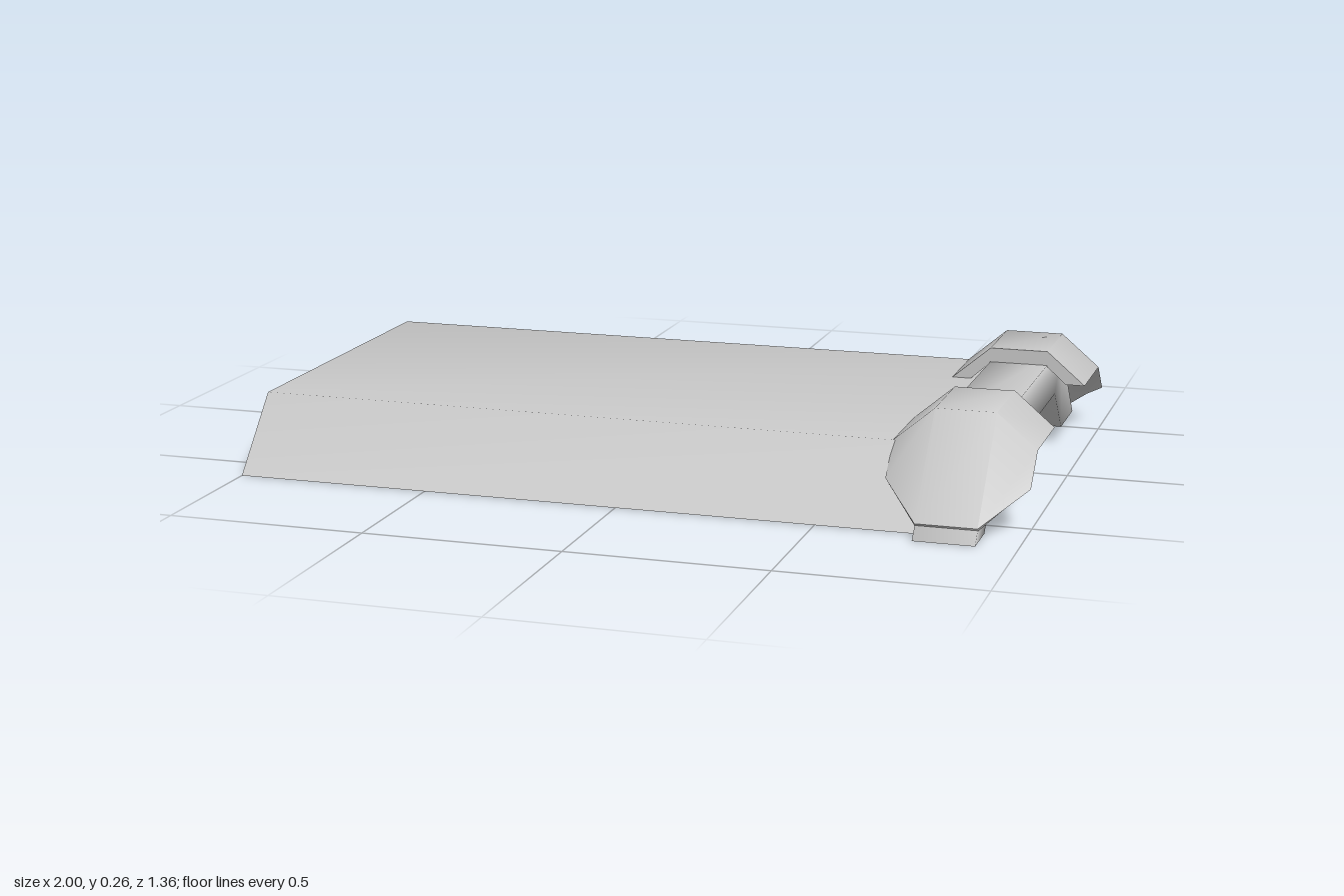
import * as THREE from 'three';
import { toCreasedNormals } from 'three/addons/utils/BufferGeometryUtils.js';

// Joins cross-sections (rings of [x, y, z] points) running from back to front.
function loft(rings, closed) {
  const n = rings[0].length;
  const index = [];
  for (let i = 0; i < rings.length - 1; i++) {
    for (let j = 0; j < (closed ? n : n - 1); j++) {
      const a = i * n + j, b = i * n + (j + 1) % n;
      index.push(a, a + n, b, b, a + n, b + n);
    }
  }
  if (closed) {
    const e = (rings.length - 1) * n;
    for (let k = 0; k < n / 2 - 1; k++) {
      const p = k, q = k + 1, r = n - 2 - k, s = n - 1 - k;
      index.push(p, q, r, p, r, s);
      index.push(e + p, e + r, e + q, e + p, e + s, e + r);
    }
  }
  const g = new THREE.BufferGeometry();
  g.setAttribute('position', new THREE.Float32BufferAttribute(rings.flat(2), 3));
  g.setIndex(index);
  g.computeVertexNormals();
  return g;
}

export function createModel() {
  const group = new THREE.Group();
  const grey = new THREE.MeshStandardMaterial({ color: 0xc8c8c8, side: THREE.DoubleSide });
  grey.name = 'light grey';
  const add = (name, geometry) => {
    const mesh = new THREE.Mesh(geometry, grey);
    mesh.name = name;
    group.add(mesh);
  };

  // Thin roof sheet with sloping edges
  const sheet = [[-0.62, 0], [-0.455, 0.18], [0.455, 0.18], [0.62, 0]];
  add('roofPanel', loft(sheet.map(([z, y]) => [[-1, y, z], [0.78, y, z]]), false));

  // Bent end rib: outer z, outer y, inner z, inner y
  const rib = [
    [-0.68, 0, -0.495, 0], [-0.46, 0.228, -0.375, 0.12],
    [0.46, 0.228, 0.455, 0.12], [0.68, 0, 0.57, 0],
  ];
  add('endRib', loft(rib.map(([zo, yo, zi, yi]) => [
    [0.75, yo, zo], [0.9, yo, zo], [0.9, yi, zi], [0.75, yi, zi],
  ]), true));

  // Arched corner guards; each station gives [y, z] of side, ridge, inner side, inner ridge
  const guard = (name, sign, start, shift) => {
    const stations = [
      [[0.18, start], [0.265, start], [0.18, start], [0.225, start]],
      [[0.18, 0.45], [0.265, 0.45], [0.18, 0.45], [0.225, 0.45]],
      [[0.105, 0.53], [0.035, 0.655], [0.07, 0.593], [0.028, 0.65]],
    ];
    const rings = stations.map(([side, ridge, inSide, inRidge], i) => {
      const at = (x, [y, z]) => [x, y, sign * (z + (i ? shift : 0))];
      return [
        at(0.65, side), at(0.75, ridge), at(0.9, ridge), at(1, side),
        at(0.95, inSide), at(0.9, inRidge), at(0.75, inRidge), at(0.7, inSide),
      ];
    });
    if (sign < 0) rings.reverse();
    add(name, toCreasedNormals(loft(rings, true), 1.0));
  };
  guard('frontCornerGuard', 1, 0.22, 0);
  guard('backCornerGuard', -1, 0.235, 0.015);

  return group;
}
